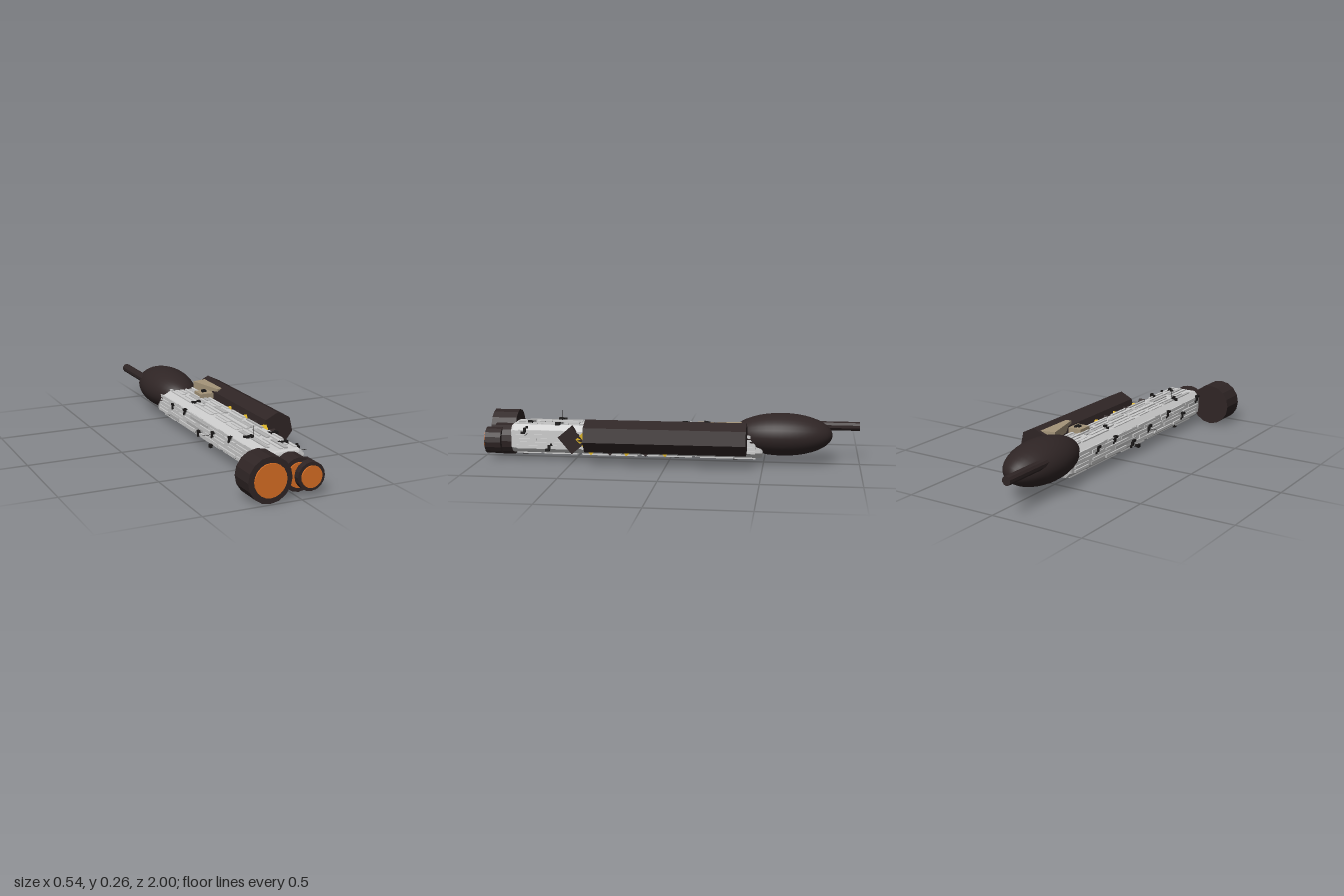
import * as THREE from 'three';

export function createModel() {
  const root = new THREE.Group();
  root.name = 'cargoSpaceship';
  const mat = (name, color, flat = true) => {
    const m = new THREE.MeshStandardMaterial({ color, flatShading: flat });
    m.name = name;
    return m;
  };
  const hullGray = mat('hullGray', 0xcdcdcd);
  const panelGray = mat('panelGray', 0xb4b4b4);
  const dark = mat('darkBrown', 0x2f2525);
  const orange = mat('engineOrange', 0xd96f24);
  const tan = mat('tan', 0xa5957a);
  const yellow = mat('hazardYellow', 0xdcb322);
  const black = mat('black', 0x1b1919);

  const add = (name, geo, material, x = 0, y = 0, z = 0, parent = root) => {
    const m = new THREE.Mesh(geo, material);
    m.name = name;
    m.position.set(x, y, z);
    parent.add(m);
    return m;
  };
  const box = (name, w, h, d, material, x, y, z, parent) =>
    add(name, new THREE.BoxGeometry(w, h, d), material, x, y, z, parent);
  // Cylinder lying along z
  const tubeZ = (r, len, sides) => new THREE.CylinderGeometry(r, r, len, sides).rotateX(Math.PI / 2);

  // Seeded random for the small surface detail
  let seed = 17;
  const rnd = (a, b) => {
    seed = (seed * 16807) % 2147483647;
    return a + (b - a) * (seed / 2147483647);
  };

  // Hull: chamfered box section with bevelled ends
  const CX = 0.006, CY = 0.115, HW = 0.099, HH = 0.075, C = 0.02, B = 0.015;
  const w = HW - B, h = HH - B;
  const section = new THREE.Shape([
    [-w + C, -h], [w - C, -h], [w, -h + C], [w, h - C],
    [w - C, h], [-w + C, h], [-w, h - C], [-w, -h + C],
  ].map(([x, y]) => new THREE.Vector2(x, y)));
  const hullGeo = new THREE.ExtrudeGeometry(section, {
    depth: 1.34 - 2 * B, bevelEnabled: true, bevelThickness: B, bevelSize: B, bevelSegments: 2,
  });
  add('hull', hullGeo, hullGray, CX, CY, -0.5 + B);

  // Faces of the hull: local y points outward, local x runs across the face
  const faces = [
    { name: 'top', half: HW, across: HH, turn: 0 },
    { name: 'left', half: HH, across: HW, turn: -Math.PI / 2 },
    { name: 'bottom', half: HW, across: HH, turn: Math.PI },
    { name: 'right', half: HH, across: HW, turn: Math.PI / 2 },
  ].map((f) => {
    const g = new THREE.Group();
    g.name = f.name + 'FaceDetail';
    g.position.set(CX, CY, 0);
    g.rotation.z = f.turn;
    root.add(g);
    return { ...f, group: g };
  });

  // Raised long panels on every face
  for (const f of faces) {
    const rows = f.half > 0.09 ? 6 : 5;
    const usable = 2 * (f.half - 0.024);
    for (let r = 0; r < rows; r++) {
      let z = -0.46;
      while (z < 0.72) {
        const len = Math.min(rnd(0.1, 0.3), 0.81 - z);
        const width = (usable / rows) * rnd(0.45, 0.9);
        const rise = rnd(0.004, 0.009);
        const x = -usable / 2 + (r + 0.5) * usable / rows;
        box('hullPanel', width, rise, len, rnd(0, 1) < 0.2 ? panelGray : hullGray,
          x, f.across + rise / 2, z + len / 2, f.group);
        z += len + rnd(0.01, 0.06);
      }
    }
  }

  // Small black fittings: [face, across, z]
  const fittings = [
    [0, -0.046, -0.085], [0, -0.075, 0.59], [0, 0.035, 0.735], [0, 0.065, 0.58],
    [1, -0.05, 0.76], [1, 0.04, 0.63], [1, 0.02, -0.1],
    [2, -0.05, 0.77], [2, 0.05, 0.6], [2, 0.0, 0.4], [2, 0.07, 0.17],
    [2, -0.04, -0.05], [2, 0.03, -0.22], [2, -0.05, -0.36],
    [3, 0.04, 0.79], [3, -0.02, 0.62], [3, 0.03, 0.45], [3, 0.0, 0.25],
    [3, -0.04, 0.08], [3, 0.03, -0.1], [3, 0.02, -0.26],
  ];
  for (const [i, x, z] of fittings) {
    const f = faces[i], y = f.across;
    box('fitting', 0.024, 0.012, 0.014, black, x, y + 0.006, z, f.group);
    box('fittingBlock', 0.012, 0.018, 0.022, black, x + 0.014, y + 0.008, z + 0.008, f.group);
    box('fittingFoot', 0.012, 0.009, 0.012, black, x - 0.014, y + 0.005, z - 0.012, f.group);
  }

  // Thin antennas: [face, across, z]
  for (const [i, x, z] of [[0, -0.049, 0.59], [1, -0.032, 0.745], [3, 0.0, 0.245], [2, 0.03, 0.3]]) {
    const f = faces[i];
    add('antenna', new THREE.CylinderGeometry(0.0013, 0.0013, i === 2 ? 0.025 : 0.06, 5), black,
      x, f.across + (i === 2 ? 0.01 : 0.03), z, f.group);
  }

  // Engines: dark drum with a glowing disc on its front end
  const engines = [
    ['largeEngine', -0.158, 0.115, 0.113, 0.083, 0.852, 0.988],
    ['middleEngine', 0.018, 0.1, 0.084, 0.062, 0.835, 0.935],
    ['smallEngine', 0.061, 0.098, 0.071, 0.054, 0.89, 0.976],
  ];
  for (const [name, x, y, r, glow, z0, z1] of engines) {
    add(name, tubeZ(r, z1 - z0, 16), dark, x, y, (z0 + z1) / 2);
    add(name + 'Glow', tubeZ(glow, 0.008, 20), orange, x, y, z1 + 0.003);
  }

  // Egg-shaped pod and the rod beyond it
  const pod = new THREE.SphereGeometry(1, 32, 20).rotateX(Math.PI / 2).scale(0.137, 0.111, 0.262);
  add('pod', pod, mat('podBrown', 0x2f2525, false), 0.005, 0.155, -0.595);
  add('rod', tubeZ(0.024, 0.4, 10), dark, -0.088, 0.188, -0.8);

  // Seven-sided side tank
  const tank = new THREE.CylinderGeometry(0.087, 0.087, 0.836, 7).rotateX(-Math.PI / 2);
  const p = tank.attributes.position;
  let topY = -1;
  for (let i = 0; i < p.count; i++) topY = Math.max(topY, p.getY(i));
  if (topY < 0.0865) tank.rotateZ(Math.PI); // one corner points up
  add('sideTank', tank, dark, 0.184, 0.156, 0);

  // Tan deck boxes
  const deck = box('slantedDeckBox', 0.085, 0.045, 0.22, tan, 0.143, 0.207, -0.285);
  deck.rotation.y = 0.22;
  box('smallDeckBox', 0.075, 0.03, 0.085, tan, 0.058, 0.2, -0.197);
  box('deckBoxFitting', 0.024, 0.012, 0.02, black, 0.058, 0.219, -0.2);
  box('deckBoxFittingBlock', 0.012, 0.01, 0.03, black, 0.066, 0.219, -0.208);

  // Row of tilted plates in alternating colours along the left side
  for (let i = 0; i < 6; i++) {
    const plate = box('hazardPlate', 0.036, 0.115, 0.095, i % 2 ? yellow : dark,
      0.102, 0.117 - (i ? 0.003 : 0), 0.507 - i * 0.097);
    plate.rotation.x = 0.7 + (i % 3) * 0.08;
  }

  return root;
}
